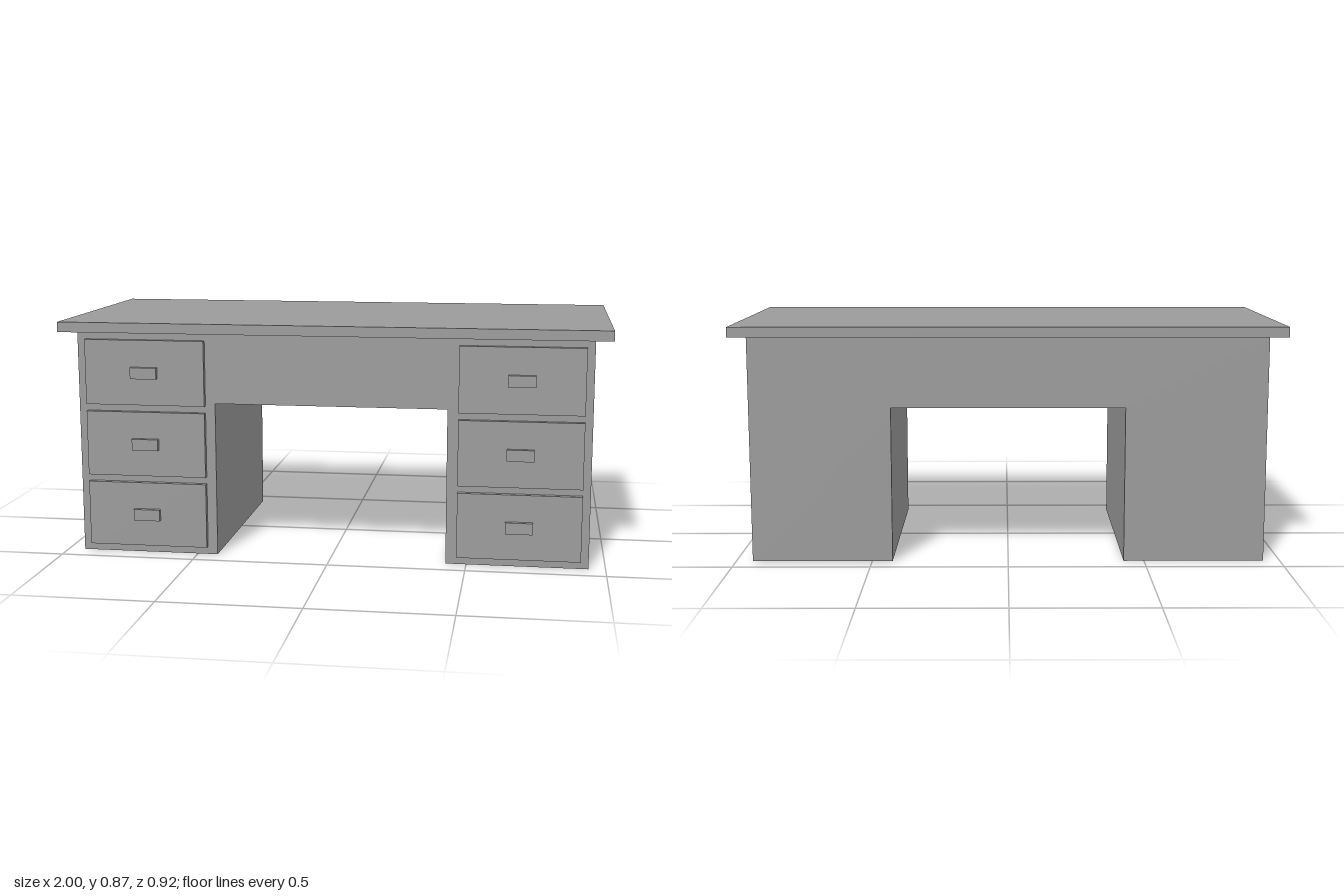
import * as THREE from 'three';

const material = new THREE.MeshStandardMaterial({ color: 0x9b9b9b, flatShading: true });

// Box from centre x, and its y and z ranges
function box(name, width, x, [y0, y1], [z0, z1]) {
  const mesh = new THREE.Mesh(new THREE.BoxGeometry(width, y1 - y0, z1 - z0), material);
  mesh.name = name;
  mesh.position.set(x, (y0 + y1) / 2, (z0 + z1) / 2);
  return mesh;
}

export function createModel() {
  const desk = new THREE.Group();
  desk.name = 'desk';

  // Tabletop
  desk.add(box('tabletop', 2, 0, [0.829, 0.866], [-0.462, 0.462]));

  // Body: two pedestals joined above the kneehole, as one solid
  const outer = 0.939, inner = 0.425, kneeTop = 0.57, top = 0.829;
  const outline = new THREE.Shape([
    [-outer, 0], [-inner, 0], [-inner, kneeTop], [inner, kneeTop],
    [inner, 0], [outer, 0], [outer, top], [-outer, top],
  ].map(([x, y]) => new THREE.Vector2(x, y)));
  const bodyGeometry = new THREE.ExtrudeGeometry(outline, { depth: 0.837, bevelEnabled: false });
  bodyGeometry.translate(0, 0, -0.418);
  const body = new THREE.Mesh(bodyGeometry, material);
  body.name = 'body';
  desk.add(body);

  // Three drawers with block handles on each pedestal
  for (const [side, sign] of [['left', 1], ['right', -1]]) {
    for (let i = 0; i < 3; i++) {
      const drawer = new THREE.Group();
      drawer.name = `${side}Drawer${i + 1}`;
      drawer.position.set(sign * 0.686 + 0.002, 0.149 + i * 0.266, 0);
      drawer.add(
        box('drawerFront', 0.446, 0, [-0.12, 0.12], [0.419, 0.439]),
        box('drawerHandle', 0.098, 0, [-0.021, 0.021], [0.439, 0.456]),
      );
      desk.add(drawer);
    }
  }
  return desk;
}
